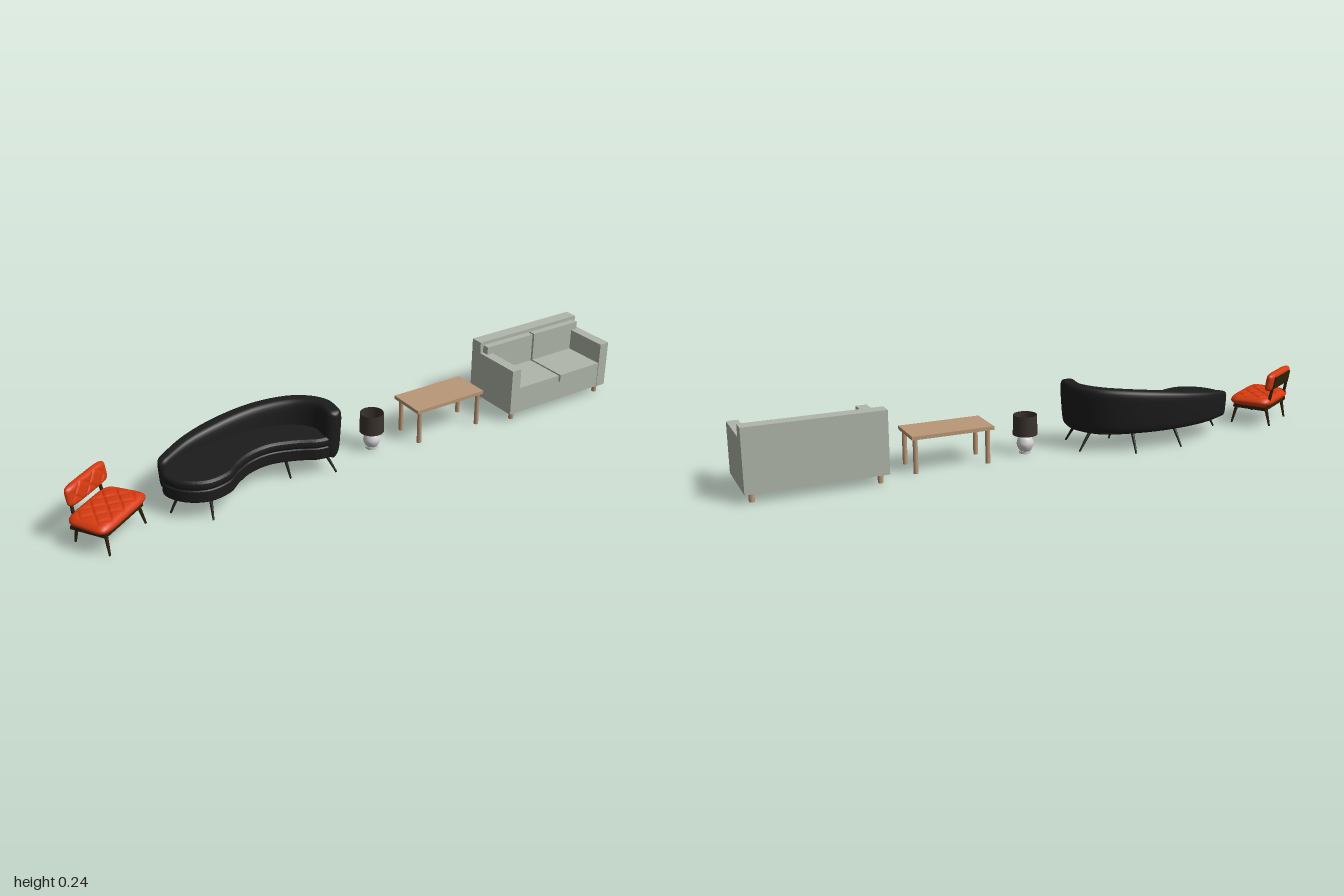
import * as THREE from 'three';
import { mergeVertices } from 'three/addons/utils/BufferGeometryUtils.js';

const mat = (name, color, extra = {}) => {
  const m = new THREE.MeshStandardMaterial({ color, ...extra });
  m.name = name;
  return m;
};

export function createModel() {
  const sage = mat('sage fabric', 0xb0b6aa);
  const wood = mat('light wood', 0xba9878);
  const black = mat('black upholstery', 0x1c1c1d);
  const red = mat('red upholstery', 0xd63a0f);
  const darkWood = mat('dark wood', 0x2e2209);
  const webbing = mat('webbing', 0x77776f);
  const ceramic = mat('pale ceramic', 0xd2d2d2);
  const shadeCloth = mat('dark shade', 0x3a332d, { side: THREE.DoubleSide });

  const root = new THREE.Group();
  const group = (name) => {
    const g = new THREE.Group();
    g.name = name;
    root.add(g);
    return g;
  };
  const add = (parent, name, geo, material) => {
    const m = new THREE.Mesh(geo, material);
    m.name = name;
    parent.add(m);
    return m;
  };
  // Box given by its minimum and maximum on each axis
  const box = (parent, name, material, x0, x1, y0, y1, z0, z1) => {
    const m = add(parent, name, new THREE.BoxGeometry(x1 - x0, y1 - y0, z1 - z0), material);
    m.position.set((x0 + x1) / 2, (y0 + y1) / 2, (z0 + z1) / 2);
    return m;
  };
  // Tapered rod from a foot to a top point
  const rod = (parent, name, material, foot, top, rFoot, rTop) => {
    const a = new THREE.Vector3(...foot), b = new THREE.Vector3(...top);
    const d = b.clone().sub(a);
    const m = add(parent, name, new THREE.CylinderGeometry(rTop, rFoot, d.length(), 12), material);
    m.position.copy(a).add(b).multiplyScalar(0.5);
    m.quaternion.setFromUnitVectors(new THREE.Vector3(0, 1, 0), d.normalize());
    return m;
  };

  // ---- Two-seat square sofa ----
  const sofa = group('squareSofa');
  box(sofa, 'base', sage, 0.592, 0.963, 0.03, 0.096, -0.035, 0.143);
  box(sofa, 'backPanel', sage, 0.555, 1, 0.03, 0.237, -0.08, -0.035);
  box(sofa, 'arm', sage, 0.555, 0.592, 0.03, 0.197, -0.035, 0.145);
  box(sofa, 'arm', sage, 0.963, 1, 0.03, 0.197, -0.035, 0.145);
  for (const s of [-1, 1]) {
    const cx = 0.7775;
    const span = (a, b) => (s > 0 ? [cx + a, cx + b] : [cx - b, cx - a]);
    box(sofa, 'seatCushion', sage, ...span(0.004, 0.185), 0.096, 0.123, -0.035, 0.143);
    box(sofa, 'backCushion', sage, ...span(0.004, 0.185), 0.123, 0.197, -0.035, -0.01);
    box(sofa, 'backCushionTop', sage, ...span(0.004, 0.21), 0.197, 0.225, -0.035, -0.01);
    for (const z of [0.122, -0.056])
      rod(sofa, 'sofaLeg', wood, [cx + s * 0.198, 0, z], [cx + s * 0.198, 0.03, z], 0.009, 0.009);
  }

  // ---- Coffee table ----
  const table = group('coffeeTable');
  box(table, 'tableTop', wood, 0.19, 0.468, 0.116, 0.128, -0.04, 0.097);
  for (const x of [0.206, 0.452])
    for (const z of [-0.021, 0.086])
      rod(table, 'tableLeg', wood, [x, 0, z], [x, 0.117, z], 0.008, 0.008);

  // ---- Table lamp ----
  const lamp = group('tableLamp');
  lamp.position.set(0.051, 0, 0.028);
  const lathe = (pts) => new THREE.LatheGeometry(
    new THREE.SplineCurve(pts.map((p) => new THREE.Vector2(...p))).getPoints(40), 32);
  add(lamp, 'lampBody', lathe([[0.016, 0.006], [0.024, 0.018], [0.0285, 0.034], [0.023, 0.052],
    [0.015, 0.061], [0.019, 0.074], [0.015, 0.088], [0.006, 0.097], [0, 0.099]]), ceramic);
  add(lamp, 'lampFoot', new THREE.CylinderGeometry(0.02, 0.02, 0.008, 32), ceramic).position.y = 0.004;
  add(lamp, 'lampShade', new THREE.CylinderGeometry(0.0395, 0.0415, 0.068, 32, 1, true), shadeCloth).position.y = 0.099;

  // ---- Curved black sofa ----
  const curved = group('curvedSofa');
  const outline = [[-0.703, 0.016], [-0.674, 0.086], [-0.604, 0.128], [-0.524, 0.116], [-0.476, 0.08],
    [-0.417, 0.048], [-0.342, 0.037], [-0.257, 0.062], [-0.193, 0.094], [-0.145, 0.092], [-0.13, 0],
    [-0.18, -0.075], [-0.29, -0.112], [-0.42, -0.122], [-0.556, -0.1], [-0.663, -0.05]]
    .map(([x, z]) => new THREE.Vector3(x, z, 0));
  const seatShape = new THREE.Shape(new THREE.CatmullRomCurve3(outline, true).getPoints(90)
    .slice(0, -1).map((p) => new THREE.Vector2(p.x, p.y)));
  const slab = (top, bottom, bevel) => {
    const g = new THREE.ExtrudeGeometry(seatShape, { depth: top - bottom - 2 * bevel, bevelThickness: bevel,
      bevelSize: bevel, bevelOffset: -bevel, bevelSegments: 4 });
    return g.rotateX(Math.PI / 2).translate(0, top - bevel, 0);
  };
  add(curved, 'seatBase', slab(0.103, 0.06, 0.006), black);
  add(curved, 'seatCushion', slab(0.134, 0.1, 0.013), black);

  // Backrest swept along the outer curve, rising toward the arm
  const path = new THREE.CatmullRomCurve3([[-0.69, -0.04], [-0.567, -0.092], [-0.42, -0.112],
    [-0.29, -0.102], [-0.185, -0.058], [-0.134, 0.01], [-0.14, 0.104]]
    .map(([x, z]) => new THREE.Vector3(x, 0, z)));
  const rings = 64, sides = 28, pos = [], idx = [];
  const soft = (v, e) => Math.sign(v) * Math.abs(v) ** e;
  for (let i = 0; i <= rings; i++) {
    const t = (1 - Math.cos((Math.PI * i) / rings)) / 2; // rings crowd toward the ends
    const p = path.getPointAt(t), T = path.getTangentAt(t);
    const end = Math.min(1, Math.min(t, 1 - t) / 0.035);
    const round = Math.sqrt(Math.max(0, 1 - (1 - end) ** 2));
    const half = (0.018 + 0.011 * Math.min(1, t * 3)) * round;
    const top = 0.148 + 0.074 * Math.sin(Math.min(1, t * 1.08) * Math.PI / 2) - 0.018 * (1 - round);
    for (let k = 0; k < sides; k++) {
      const a = (2 * Math.PI * k) / sides;
      const y = (top + 0.06) / 2 + soft(Math.sin(a), 0.4) * (top - 0.06) / 2;
      const n = soft(Math.cos(a), 0.5) * half + 0.075 * (y - 0.16);
      pos.push(p.x + T.z * n, y, p.z - T.x * n);
      if (i < rings) {
        const A = i * sides + k, B = i * sides + ((k + 1) % sides);
        idx.push(A, B, A + sides, B, B + sides, A + sides);
      }
    }
  }
  const back = new THREE.BufferGeometry();
  back.setAttribute('position', new THREE.Float32BufferAttribute(pos, 3));
  back.setIndex(idx);
  back.computeVertexNormals();
  add(curved, 'curvedBack', back, black);

  // Splayed legs: foot x, z then top x, z
  for (const [fx, fz, tx, tz] of [[-0.692, 0.03, -0.655, 0.03], [-0.6, 0.138, -0.59, 0.105],
    [-0.455, -0.14, -0.445, -0.1], [-0.28, -0.14, -0.285, -0.1], [-0.28, 0.055, -0.285, 0.03],
    [-0.135, 0.1, -0.16, 0.07], [-0.118, -0.04, -0.165, -0.03]])
    rod(curved, 'curvedSofaLeg', black, [fx, 0, fz], [tx, 0.066, tz], 0.003, 0.006);

  // ---- Red tufted chair ----
  const chair = group('tuftedChair');
  chair.position.set(-0.896, 0, 0.033);
  chair.rotation.y = 0.575;
  // Pillow with rounded edges and diamond tufting on its +y face
  const pillow = (w, h, d, pitch, depth, taper) => {
    const g = new THREE.BoxGeometry(2, 2, 2, 44, 8, 32);
    g.deleteAttribute('normal');
    g.deleteAttribute('uv');
    const m = mergeVertices(g, 1e-4), P = m.attributes.position;
    for (let i = 0; i < P.count; i++) {
      const x = P.getX(i), y = P.getY(i), z = P.getZ(i);
      const r = (Math.abs(x) ** 6 + Math.abs(z) ** 6) ** (1 / 6) || 1;
      const q = Math.max(Math.abs(x), Math.abs(z)) / r; // rounds the plan corners
      const f = 1 - 0.1 * y * y;
      const X = x * q * f * (w / 2) * (1 + taper * z), Z = z * q * f * (d / 2);
      const edge = 1 - Math.max(Math.abs(x), Math.abs(z)) ** 8;
      const crease = (v) => Math.exp(-((Math.sin((Math.PI * v) / pitch) / 0.25) ** 2));
      const tuft = y > 0.99 ? depth * edge * Math.max(crease(X + Z), crease(X - Z)) : 0;
      P.setXYZ(i, X, y * (h / 2) * (0.7 + 0.3 * edge) - tuft, Z);
    }
    m.computeVertexNormals();
    return m;
  };
  add(chair, 'chairSeat', pillow(0.226, 0.038, 0.148, 0.06, 0.005, 0.06), red).position.set(0, 0.087, 0.004);
  const rest = new THREE.Group();
  rest.name = 'backrest';
  rest.position.set(0, 0.161, -0.06);
  rest.rotation.x = -0.16;
  chair.add(rest);
  add(rest, 'backCushion', pillow(0.19, 0.03, 0.066, 0.07, 0.003, 0), red).rotation.x = Math.PI / 2;
  box(rest, 'backPanel', darkWood, -0.07, 0.07, -0.021, 0.021, -0.0185, -0.0115);
  // Open seat frame with webbing
  for (const s of [-1, 1]) {
    box(chair, 'sideRail', darkWood, s * 0.085 - 0.012, s * 0.085 + 0.012, 0.059, 0.071, -0.058, 0.064);
    box(chair, 'crossRail', darkWood, -0.097, 0.097, 0.06, 0.07, 0.003 + s * 0.053 - 0.009, 0.003 + s * 0.053 + 0.009);
    rod(chair, 'frontLeg', darkWood, [s * 0.094, 0, 0.07], [s * 0.084, 0.068, 0.055], 0.0035, 0.0065);
    rod(chair, 'backLeg', darkWood, [s * 0.072, 0, -0.066], [s * 0.074, 0.068, -0.05], 0.0035, 0.0065);
    rod(chair, 'backPost', darkWood, [s * 0.074, 0.062, -0.055], [s * 0.066, 0.165, -0.074], 0.006, 0.005);
  }
  for (let i = -2; i <= 2; i++)
    box(chair, 'webStrap', webbing, i * 0.03 - 0.011, i * 0.03 + 0.011, 0.064, 0.067, -0.045, 0.05);

  return root;
}
